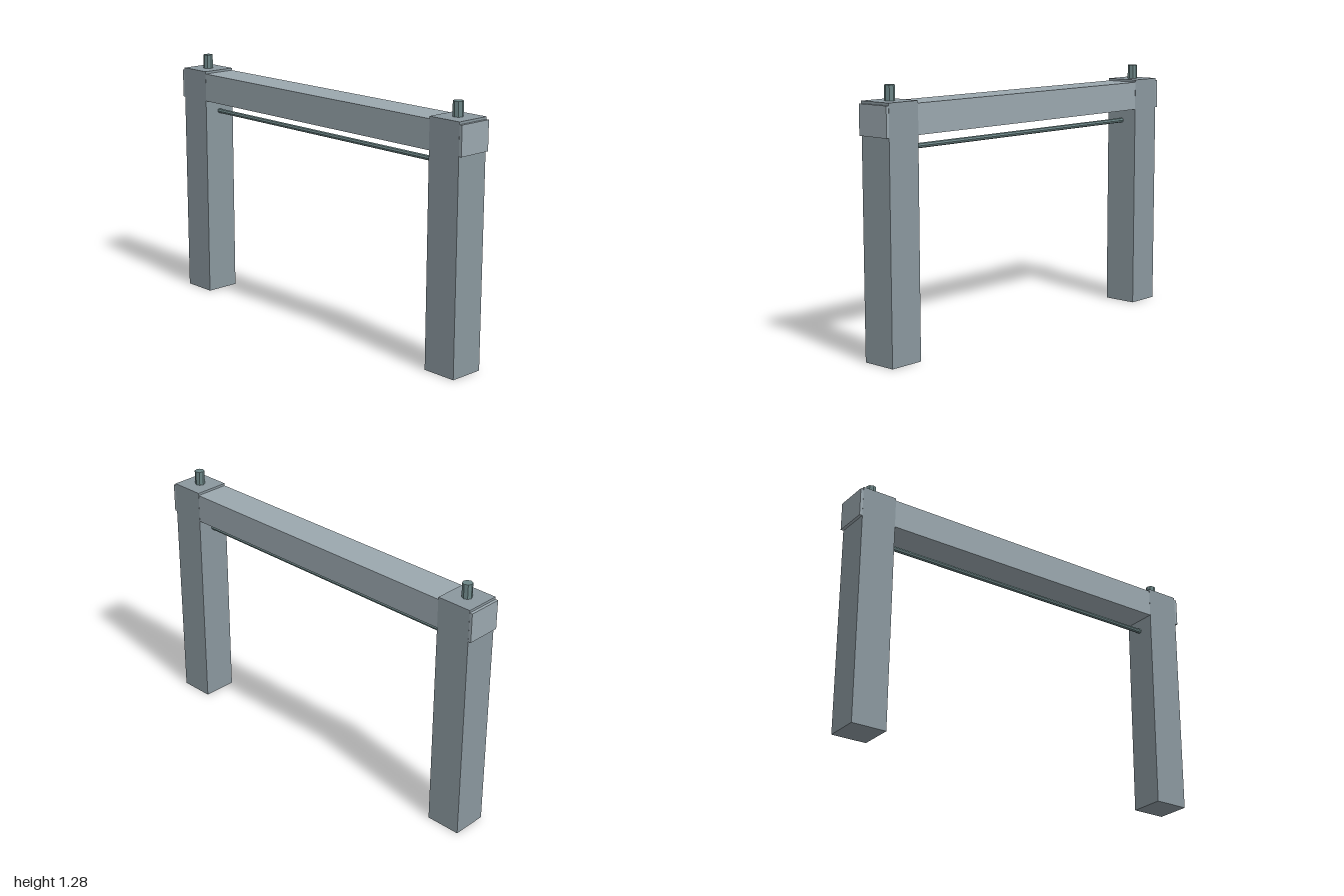
import * as THREE from 'three';

export function createModel() {
  const group = new THREE.Group();
  const paint = (color) => new THREE.MeshStandardMaterial({ color, flatShading: true });
  const postPaint = paint(0x8a979e), beamPaint = paint(0x9aa7ae), metal = paint(0x6c8586);

  function add(name, geometry, material, x, y) {
    const mesh = new THREE.Mesh(geometry, material);
    mesh.name = name;
    mesh.position.set(x, y, 0);
    group.add(mesh);
    return mesh;
  }

  const postHeight = 1.212, postX = 0.895;

  // Square posts, each with a short pin on top
  for (const [side, s] of [['left', 1], ['right', -1]]) {
    add(side + 'Post', new THREE.BoxGeometry(0.18, postHeight, 0.18), postPaint, s * postX, postHeight / 2);
    add(side + 'Pin', new THREE.CylinderGeometry(0.025, 0.025, 0.073, 8), metal, s * postX, postHeight + 0.0355);
  }

  // Cross beam, a hair thinner than the posts so faces do not coincide
  add('crossBeam', new THREE.BoxGeometry(2, 0.145, 0.179), beamPaint, 0, 1.1275);

  // Thin rod under the beam, running between the posts
  const rod = add('rod', new THREE.CylinderGeometry(0.0125, 0.0125, 1.62, 8), metal, 0, 0.992);
  rod.rotation.z = Math.PI / 2;

  return group;
}
